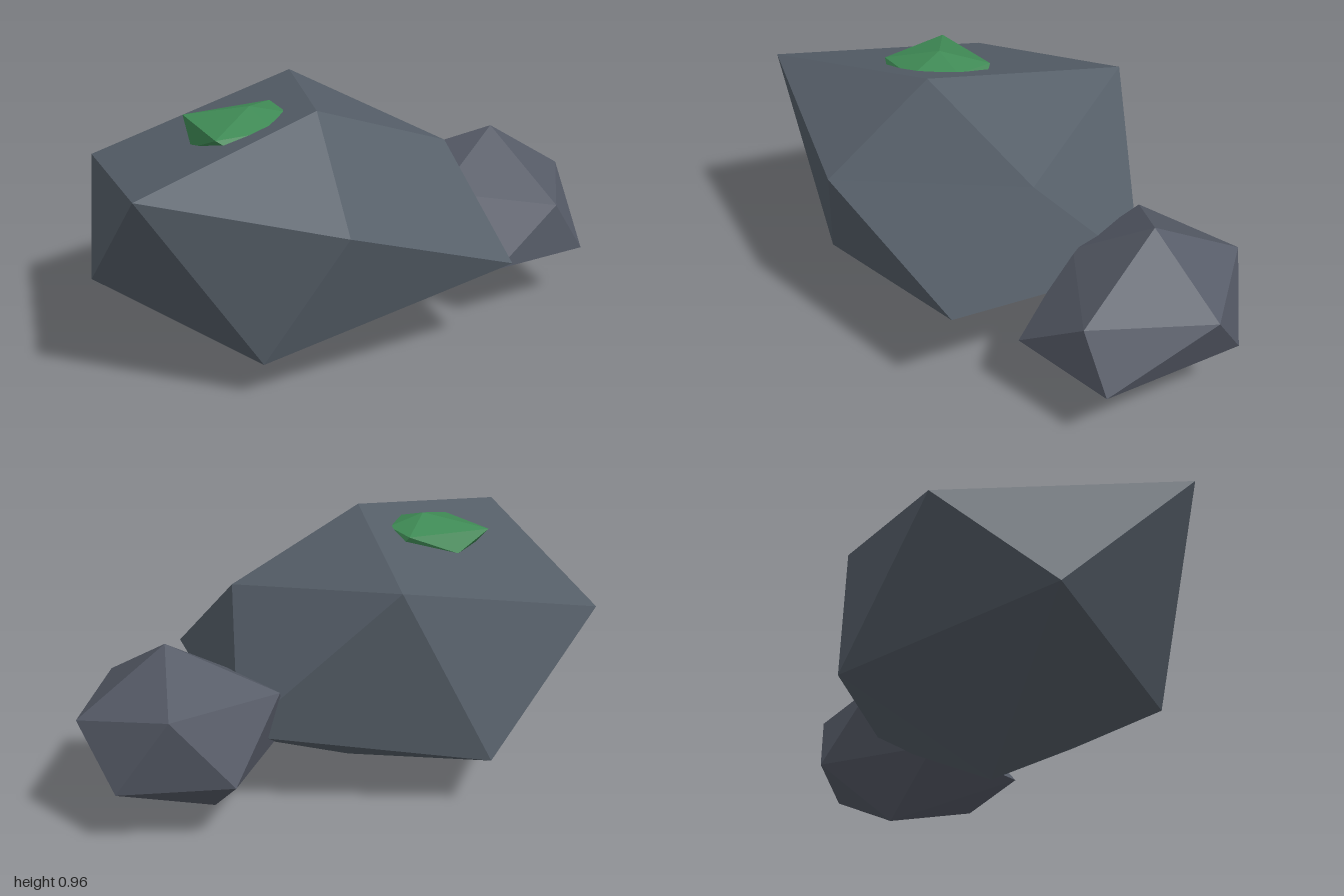
import * as THREE from 'three';

const slate = new THREE.MeshStandardMaterial({ color: 0x555e68 });
const greySlate = new THREE.MeshStandardMaterial({ color: 0x555a66 });
const mossGreen = new THREE.MeshStandardMaterial({ color: 0x3f8a55 });
slate.name = 'slate';
greySlate.name = 'greySlate';
mossGreen.name = 'mossGreen';

// Irregular 20-sided stone: a top point, two staggered rings of five, a bottom point.
// Rings run counterclockwise seen from above; lower[i] sits between upper[i] and upper[i + 1].
function stone(name, material, top, upper, lower, bottom) {
  const corners = [];
  for (let i = 0; i < 5; i++) {
    const j = (i + 1) % 5;
    corners.push(
      top, upper[i], upper[j],
      upper[i], lower[i], upper[j],
      upper[j], lower[i], lower[j],
      bottom, lower[j], lower[i]
    );
  }
  const geometry = new THREE.BufferGeometry();
  geometry.setAttribute('position', new THREE.Float32BufferAttribute(corners.flat(), 3));
  geometry.computeVertexNormals(); // unshared corners keep every facet flat
  const mesh = new THREE.Mesh(geometry, material);
  mesh.name = name;
  return mesh;
}

export function createModel() {
  const group = new THREE.Group();
  group.name = 'mossyRocks';

  // Main boulder
  group.add(stone('largeBoulder', slate,
    [-0.18, 0.96, 0.2],
    [[-0.885, 0.83, 0.555], [-0.17, 0.64, 0.615], [0.36, 0.74, 0.035], [-0.1, 0.873, -0.58], [-0.935, 0.665, -0.37]],
    [[-0.46, 0.15, 0.52], [0.5, 0.38, 0.425], [0.44, 0.32, -0.38], [-0.44, 0.21, -0.61], [-1, 0.335, 0.05]],
    [-0.08, 0, -0.02]));

  // Smaller rock leaning against its side
  group.add(stone('smallBoulder', greySlate,
    [0.67, 0.66, -0.28],
    [[0.4, 0.46, -0.11], [0.82, 0.435, 0.08], [1, 0.44, -0.35], [0.72, 0.51, -0.61], [0.3, 0.5, -0.45]],
    [[0.545, 0.24, 0.185], [0.95, 0.225, 0.055], [0.9, 0.22, -0.52], [0.5, 0.24, -0.62], [0.22, 0.24, -0.2]],
    [0.52, 0.025, -0.33]));

  // Moss clump sunk into the top of the boulder
  group.add(stone('mossClump', mossGreen,
    [-0.395, 0.95, 0.055],
    [[-0.55, 0.89, 0.22], [-0.335, 0.9, 0.2], [-0.255, 0.91, 0.04], [-0.285, 0.91, -0.11], [-0.62, 0.9, -0.06]],
    [[-0.46, 0.83, 0.24], [-0.28, 0.84, 0.13], [-0.25, 0.85, -0.07], [-0.48, 0.83, -0.11], [-0.61, 0.81, 0.05]],
    [-0.43, 0.8, 0.05]));

  return group;
}
